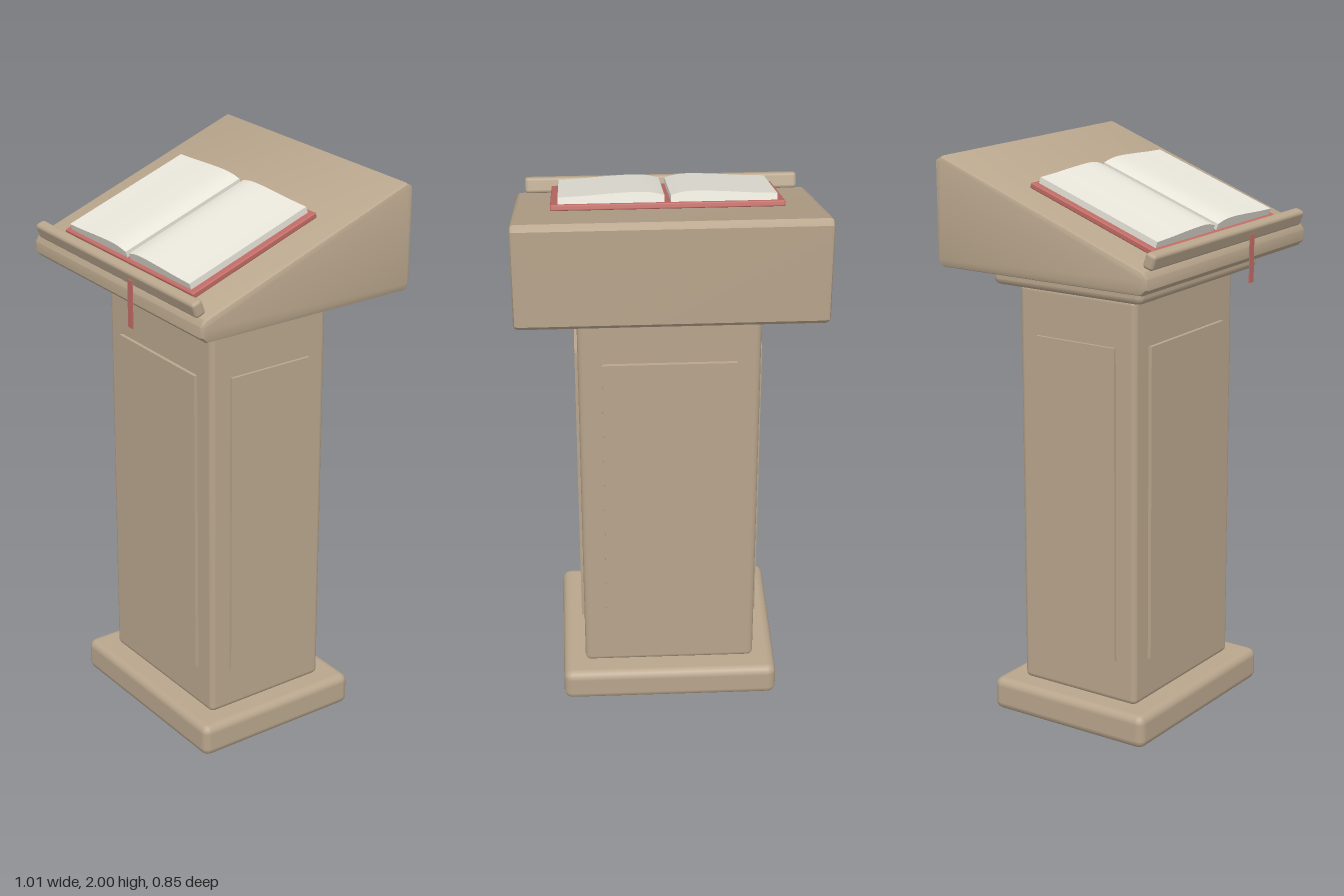
import * as THREE from 'three';
import { RoundedBoxGeometry } from 'three/addons/geometries/RoundedBoxGeometry.js';
import { toCreasedNormals } from 'three/addons/utils/BufferGeometryUtils.js';

const TILT = 0.344; // slope of the reading surface

export function createModel() {
  const wood = new THREE.MeshStandardMaterial({ name: 'wood', color: 0xb8a58c });
  const red = new THREE.MeshStandardMaterial({ name: 'red cover', color: 0xbf6a64 });
  const paper = new THREE.MeshStandardMaterial({ name: 'paper', color: 0xe8e5da });

  const model = new THREE.Group();
  model.name = 'lectern';

  const add = (parent, name, geometry, material, x = 0, y = 0, z = 0) => {
    const mesh = new THREE.Mesh(geometry, material);
    mesh.name = name;
    mesh.position.set(x, y, z);
    parent.add(mesh);
    return mesh;
  };
  const rounded = (w, h, d, r) => new RoundedBoxGeometry(w, h, d, 2, r);

  // Pedestal
  add(model, 'base', rounded(0.77, 0.12, 0.64, 0.03), wood, 0, 0.06, 0);
  add(model, 'shaft', rounded(0.61, 1.44, 0.475, 0.02), wood, 0, 0.835, 0);
  add(model, 'collar', rounded(0.74, 0.065, 0.605, 0.025), wood, 0, 1.588, 0);
  add(model, 'neck', new THREE.BoxGeometry(0.56, 0.1, 0.43), wood, 0, 1.585, 0);

  // Raised panels on all four faces
  for (const s of [1, -1]) {
    add(model, 'facePanel', new THREE.BoxGeometry(0.45, 1.115, 0.03), wood, 0, 0.828, s * 0.235);
    add(model, 'sidePanel', new THREE.BoxGeometry(0.03, 1.115, 0.32), wood, s * 0.3, 0.828, 0);
  }

  // Wedge-shaped desk: side profile (z, y) extruded across the width
  const bevel = 0.014;
  const width = 1.01;
  const profile = new THREE.Shape([
    [0.39, 1.625], [0.412, 1.645], [0.412, 1.682], [0.397, 1.704],
    [-0.403, 1.998], [-0.427, 1.983], [-0.427, 1.645], [-0.407, 1.625],
  ].map(([z, y]) => new THREE.Vector2(z, y)));
  const desk = new THREE.ExtrudeGeometry(profile, {
    depth: width - 2 * bevel, bevelThickness: bevel, bevelSize: bevel,
    bevelOffset: -bevel, bevelSegments: 2,
  });
  desk.translate(0, 0, bevel - width / 2).rotateY(-Math.PI / 2);
  add(model, 'desk', toCreasedNormals(desk, 0.6), wood);

  // Ledge that stops the book
  const ledge = add(model, 'ledge', rounded(0.945, 0.055, 0.04, 0.012), wood, 0, 1.732, 0.4);
  ledge.rotation.x = TILT;

  // Open book lying on the slope
  const book = new THREE.Group();
  book.name = 'openBook';
  book.position.set(0, 1.807, 0.11);
  book.rotation.x = TILT;
  model.add(book);
  add(book, 'cover', rounded(0.76, 0.02, 0.517, 0.005), red, 0, 0.018, 0);

  // Page blocks with a gently arched top, mirrored about the spine
  for (const s of [1, -1]) {
    const shape = new THREE.Shape();
    shape.moveTo(s * 0.01, 0.026);
    shape.lineTo(s * 0.355, 0.026);
    shape.lineTo(s * 0.355, 0.05);
    shape.splineThru([[0.28, 0.053], [0.19, 0.059], [0.1, 0.063], [0.05, 0.06], [0.01, 0.05]]
      .map(([x, y]) => new THREE.Vector2(s * x, y)));
    const pages = new THREE.ExtrudeGeometry(shape, { depth: 0.488, bevelEnabled: false, curveSegments: 4 });
    pages.translate(0, 0, -0.244);
    add(book, s > 0 ? 'leftPages' : 'rightPages', toCreasedNormals(pages, 0.6), paper);
  }

  // Bookmark ribbon hanging over the front edge
  add(model, 'ribbon', new THREE.BoxGeometry(0.026, 0.165, 0.004), red, 0.117, 1.645, 0.424);

  return model;
}
